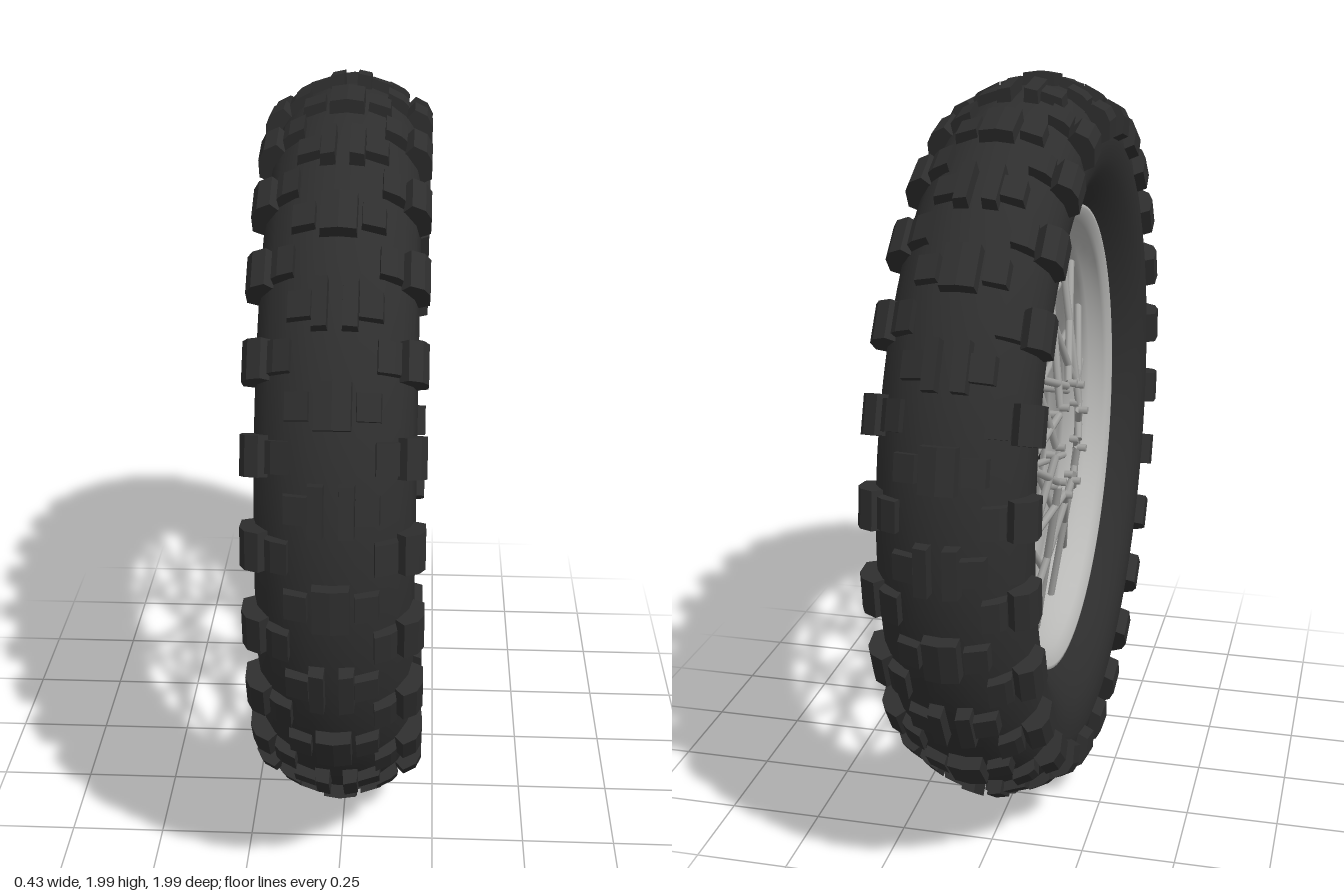
import * as THREE from 'three';
import { mergeGeometries } from 'three/addons/utils/BufferGeometryUtils.js';

const rubber = new THREE.MeshStandardMaterial({ color: 0x2e2e2e });
rubber.name = 'black rubber';
const alloy = new THREE.MeshStandardMaterial({ color: 0xb8b8b6 });
alloy.name = 'light alloy';
const steel = new THREE.MeshStandardMaterial({ color: 0xa0a09e });
steel.name = 'spoke steel';

const PITCHES = 26;
const STEP = (Math.PI * 2) / PITCHES;

// Surface of revolution about the x axis, from [radius, x] pairs
function revolve(points) {
  const geometry = new THREE.LatheGeometry(points.map(([r, x]) => new THREE.Vector2(r, x)), 96);
  return geometry.rotateZ(-Math.PI / 2);
}

// Mirror a half profile that ends at x = 0
const mirrored = (half) => half.slice(0, -1).reverse().map(([r, x]) => [r, -x]);

// Tread block: cross-section in [x, radius], extruded along the rolling direction
function block(section, length, angle) {
  const shape = new THREE.Shape(section.map(([x, r]) => new THREE.Vector2(x, r)));
  const geometry = new THREE.ExtrudeGeometry(shape, { depth: length, bevelEnabled: false });
  return geometry.translate(0, 0, -length / 2).rotateX(angle);
}

const keep = (section) => section;
const flip = (section) => section.map(([x, r]) => [-x, r]);

function add(group, name, geometry, material) {
  const mesh = new THREE.Mesh(geometry, material);
  mesh.name = name;
  group.add(mesh);
}

export function createModel() {
  const wheel = new THREE.Group();
  wheel.name = 'wheel';

  // Tyre carcass, with sidewalls dished in towards the rim
  const tyreHalf = [
    [0.625, 0.085], [0.645, 0.1], [0.67, 0.122], [0.7, 0.146], [0.735, 0.168], [0.77, 0.182],
    [0.82, 0.188], [0.865, 0.178], [0.905, 0.152], [0.938, 0.108], [0.958, 0.055], [0.964, 0],
  ];
  const tyrePoints = tyreHalf.map(([r, x]) => [r, -x]).concat(tyreHalf.slice(0, -1).reverse());
  add(wheel, 'tyreCarcass', revolve(tyrePoints), rubber);

  // Tread blocks
  const shoulder = [[0.16, 0.84], [0.186, 0.825], [0.213, 0.838], [0.214, 0.885], [0.2, 0.912], [0.168, 0.928], [0.14, 0.9]];
  const middle = [[0.095, 0.92], [0.145, 0.89], [0.152, 0.935], [0.138, 0.949], [0.1, 0.968]];
  const pairBlock = [[0.015, 0.94], [0.055, 0.935], [0.052, 0.99], [0.018, 0.997]];
  const single = [[-0.045, 0.93], [0.045, 0.93], [0.042, 0.991], [0, 0.997], [-0.042, 0.991]];
  const arm = [[0.05, 0.93], [0.112, 0.91], [0.108, 0.965], [0.055, 0.982]];
  const shoulders = [], middles = [], centres = [];
  for (let i = 0; i < PITCHES; i++) {
    const a = i * STEP;
    const half = a + STEP / 2;
    for (const side of [keep, flip]) {
      shoulders.push(block(side(shoulder), 0.095, a));
      middles.push(block(side(middle), 0.075, a));
      centres.push(block(side(arm), 0.065, half));
      if (i % 2) centres.push(block(side(pairBlock), 0.12, half));
    }
    if (i % 2 === 0) centres.push(block(single, 0.11, half));
  }
  add(wheel, 'shoulderKnobs', mergeGeometries(shoulders), rubber);
  add(wheel, 'middleKnobs', mergeGeometries(middles), rubber);
  add(wheel, 'centreKnobs', mergeGeometries(centres), rubber);

  // Rim with a sloping lip and a dropped centre
  const rimHalf = [
    [0.63, 0.085], [0.647, 0.1], [0.645, 0.107], [0.635, 0.108], [0.612, 0.096],
    [0.604, 0.085], [0.598, 0.062], [0.58, 0.045], [0.573, 0.03], [0.571, 0],
  ];
  add(wheel, 'rim', revolve(rimHalf.concat(mirrored(rimHalf))), alloy);

  // Laced spokes, each with a short bent head at the hub end
  const spokes = [];
  const polar = (r, a, x) => new THREE.Vector3(x, r * Math.cos(a), r * Math.sin(a));
  const rod = (from, to, radius) => {
    const path = new THREE.LineCurve3(from, to);
    const geometry = new THREE.CylinderGeometry(radius, radius, path.getLength(), 8);
    const turn = new THREE.Quaternion().setFromUnitVectors(new THREE.Vector3(0, 1, 0), path.getTangent(0));
    const middlePoint = path.getPoint(0.5);
    return geometry.applyQuaternion(turn).translate(middlePoint.x, middlePoint.y, middlePoint.z);
  };
  for (let i = 0; i < 36; i++) {
    const side = i % 2 ? 1 : -1;
    const lean = (i >> 1) % 2 ? 1 : -1;
    const rimAngle = ((i * 10 + 5) * Math.PI) / 180;
    const hub = polar(0.16, rimAngle + lean * 0.8, side * 0.1);
    spokes.push(rod(hub, polar(0.58, rimAngle, side * 0.02), 0.011));
    const head = hub.clone();
    head.x += lean * 0.025;
    spokes.push(rod(hub, head, 0.011));
  }
  add(wheel, 'spokes', mergeGeometries(spokes), steel);

  wheel.position.y = 1;
  const model = new THREE.Group();
  model.name = 'spokedWheel';
  model.add(wheel);
  return model;
}
